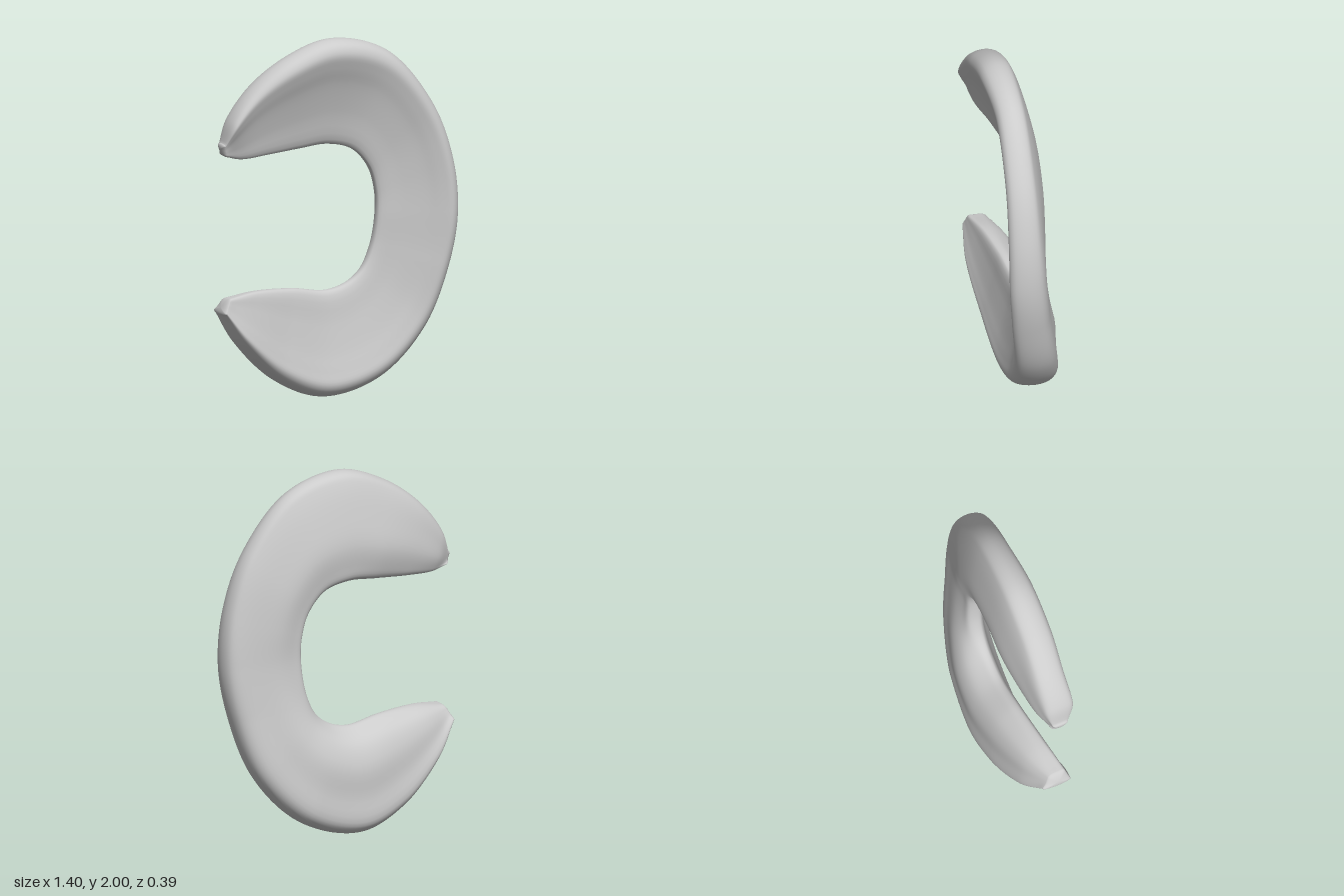
import * as THREE from 'three';

// Stations along the C, upper horn to lower horn:
// inner x, inner y, outer x, outer y, then z of outer front, outer back, inner front edge, back ridge
const STATIONS = [
  [-0.67, 1.395, -0.69, 1.47, 0.125, 0.035, 0.11, 0.04],
  [-0.57, 1.37, -0.65, 1.6, 0.175, 0.015, 0.09, -0.01],
  [-0.4, 1.375, -0.51, 1.775, 0.178, 0.0, 0.06, -0.05],
  [-0.2, 1.39, -0.3, 1.92, 0.19, 0.0, 0.04, -0.078],
  [-0.03, 1.4, -0.04, 2.0, 0.187, 0.0, 0.03, -0.078],
  [0.12, 1.36, 0.29, 1.91, 0.167, 0.0, 0.03, -0.078],
  [0.22, 1.25, 0.55, 1.61, 0.172, 0.0, 0.03, -0.075],
  [0.26, 1.12, 0.668, 1.3, 0.18, -0.005, 0.03, -0.068],
  [0.265, 1.0, 0.7, 0.99, 0.18, -0.02, 0.03, -0.065],
  [0.24, 0.82, 0.655, 0.69, 0.157, -0.05, 0.02, -0.09],
  [0.18, 0.69, 0.53, 0.35, 0.117, -0.11, 0.015, -0.135],
  [0.09, 0.62, 0.28, 0.09, 0.103, -0.17, 0.015, -0.175],
  [-0.03, 0.59, -0.05, 0.0, 0.103, -0.19, 0.02, -0.182],
  [-0.24, 0.62, -0.33, 0.11, 0.12, -0.165, 0.045, -0.145],
  [-0.48, 0.63, -0.57, 0.335, 0.15, -0.1, 0.085, -0.07],
  [-0.65, 0.61, -0.692, 0.52, 0.14, -0.025, 0.12, 0.01],
];
const ALONG = 160, AROUND = 60, CAP = 8;

// Smooth curve through three chosen columns of the station list
const column = (a, b, c) => new THREE.CatmullRomCurve3(
  STATIONS.map((s) => new THREE.Vector3(s[a], s[b], s[c])));

// Wedge section: thin wall at the inner edge, thick and rounded at the rim
function section(inner, outer, heights) {
  const { x: front, y: back, z: edge } = heights;
  const ridge = inner.z, wall = edge - 0.08;
  const at = (u, z) => new THREE.Vector3().lerpVectors(inner, outer, u).setZ(z);
  const mix = THREE.MathUtils.lerp;
  return new THREE.CatmullRomCurve3([
    at(0, edge - 0.04),
    at(0.02, edge - 0.005),
    at(0.3, mix(edge, front, 0.26)),
    at(0.58, mix(edge, front, 0.6)),
    at(0.75, mix(edge, front, 0.87)),
    at(0.87, front),
    at(0.955, mix(front, back, 0.12)),
    at(1, mix(front, back, 0.48)),
    at(0.97, mix(front, back, 0.83)),
    at(0.88, back),
    at(0.62, mix(back, ridge, 0.6)),
    at(0.35, ridge),
    at(0.15, mix(wall, ridge, 0.62)),
    at(0.035, wall),
  ], true).getPoints(AROUND).slice(0, AROUND);
}

// Rounded horn end: rings that shrink toward the middle as they move outward
function capRings(ring) {
  const centre = ring.reduce((sum, p) => sum.add(p), new THREE.Vector3()).divideScalar(AROUND);
  return Array.from({ length: CAP }, (_, i) => {
    const angle = ((i + 1) / CAP) * Math.PI / 2;
    return ring.map((p) => {
      const q = p.clone().lerp(centre, 1 - Math.cos(angle));
      q.x -= 0.02 * Math.sin(angle);
      return q;
    });
  });
}

function crescentGeometry() {
  const innerEdge = column(0, 1, 7), outerEdge = column(2, 3, 4), heights = column(4, 5, 6);
  const body = [];
  for (let i = 0; i <= ALONG; i++) {
    const t = i / ALONG;
    body.push(section(innerEdge.getPoint(t), outerEdge.getPoint(t), heights.getPoint(t)));
  }
  const rings = [...capRings(body[0]).reverse(), ...body, ...capRings(body[ALONG])];
  const index = [];
  for (let i = 0; i < rings.length - 1; i++) {
    const a = i * AROUND, b = a + AROUND;
    for (let j = 0; j < AROUND; j++) {
      const k = (j + 1) % AROUND;
      index.push(a + j, b + j, a + k, b + j, b + k, a + k);
    }
  }
  const geometry = new THREE.BufferGeometry().setFromPoints(rings.flat());
  geometry.setIndex(index);
  geometry.computeVertexNormals();
  return geometry;
}

export function createModel() {
  const group = new THREE.Group();
  group.name = 'crescentCushion';
  const body = new THREE.Mesh(crescentGeometry(), new THREE.MeshStandardMaterial({ color: 0xcccccc }));
  body.name = 'wedgeRing';
  group.add(body);
  return group;
}
